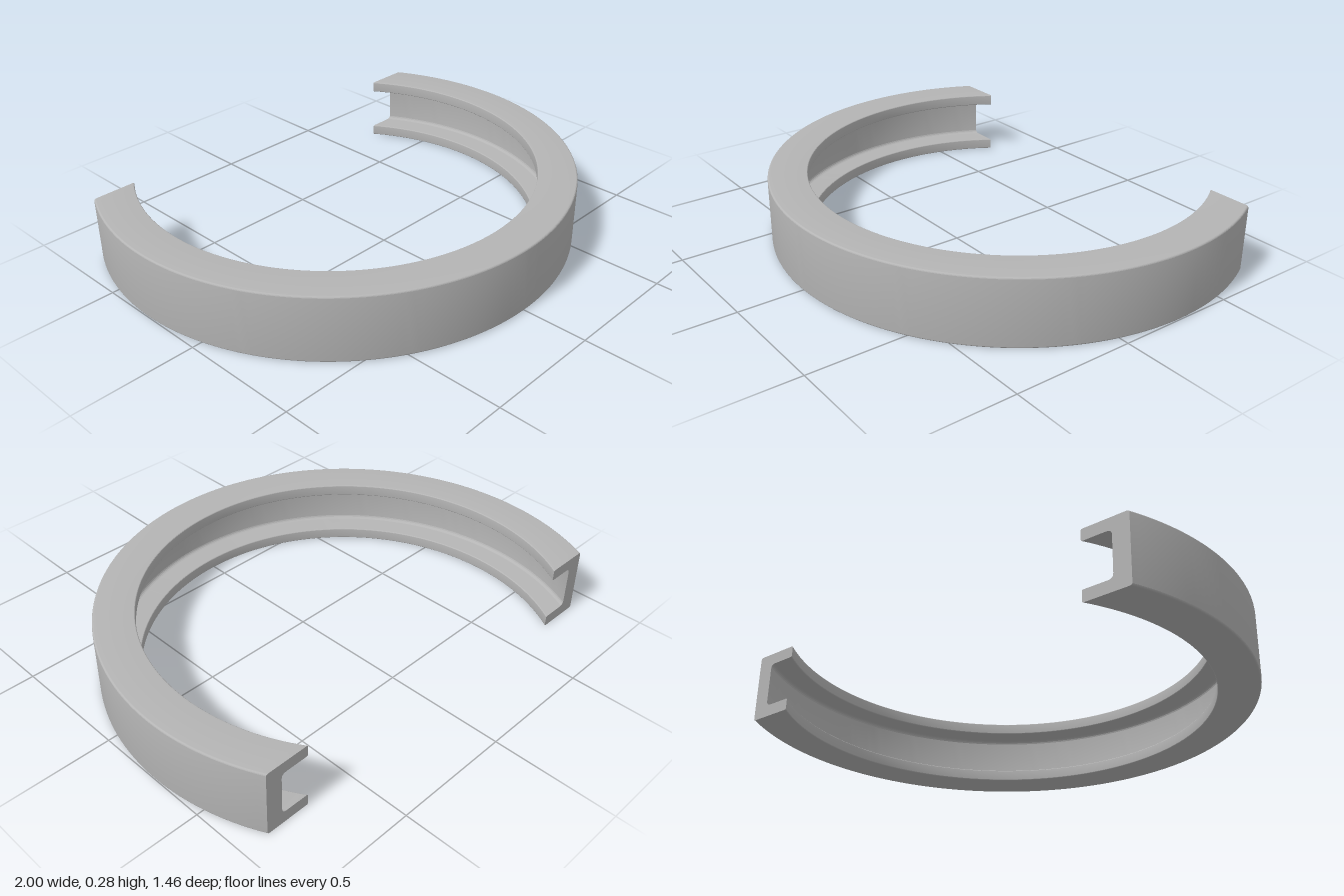
import * as THREE from 'three';
import { toCreasedNormals } from 'three/addons/utils/BufferGeometryUtils.js';

const CENTRE_Z = -0.27; // ring axis
const CUT = -0.46;      // flat cut across the back, measured from the axis
const STEPS = 128;

// C-channel section: radius, height, fillet size
const CORNERS = [
  [1, 0, 0.01], [1, 0.28, 0.01],
  [0.837, 0.28, 0.006], [0.837, 0.232, 0.006],
  [0.94, 0.232, 0.02], [0.94, 0.048, 0.02],
  [0.837, 0.048, 0.006], [0.837, 0, 0.006],
];

// Rounds every corner of the section
function channelProfile() {
  const shape = new THREE.Shape();
  const n = CORNERS.length;
  CORNERS.forEach(([r, y, f], i) => {
    const corner = new THREE.Vector2(r, y);
    const toward = (k) => new THREE.Vector2(CORNERS[k][0], CORNERS[k][1])
      .sub(corner).setLength(f).add(corner);
    const a = toward((i + n - 1) % n), b = toward((i + 1) % n);
    if (i === 0) shape.moveTo(a.x, a.y);
    else shape.lineTo(a.x, a.y);
    shape.quadraticCurveTo(r, y, b.x, b.y);
  });
  return shape.getPoints(5);
}

// Sweeps the section round the axis, ending each strand on the flat cut
function openRing() {
  const profile = channelProfile();
  const n = profile.length;
  const positions = [], index = [];
  for (let i = 0; i <= STEPS; i++) {
    for (const p of profile) {
      const angle = Math.acos(CUT / p.x) * (2 * i / STEPS - 1);
      positions.push(p.x * Math.sin(angle), p.y, CENTRE_Z + p.x * Math.cos(angle));
    }
  }
  for (let i = 0; i < STEPS; i++) {
    for (let j = 0; j < n; j++) {
      const k = (j + 1) % n;
      const a = i * n + j, b = a + n, c = i * n + k, d = c + n;
      index.push(a, b, c, b, d, c);
    }
  }
  // End faces
  const last = STEPS * n;
  for (const [a, b, c] of THREE.ShapeUtils.triangulateShape(profile, [])) {
    index.push(a, b, c, last + a, last + c, last + b);
  }
  const geometry = new THREE.BufferGeometry();
  geometry.setAttribute('position', new THREE.Float32BufferAttribute(positions, 3));
  geometry.setIndex(index);
  return toCreasedNormals(geometry, 0.15);
}

export function createModel() {
  const group = new THREE.Group();
  group.name = 'openChannelRing';
  const grey = new THREE.MeshStandardMaterial({ color: 0xb4b4b4 });
  grey.name = 'grey';
  const ring = new THREE.Mesh(openRing(), grey);
  ring.name = 'channelRing';
  group.add(ring);
  return group;
}
